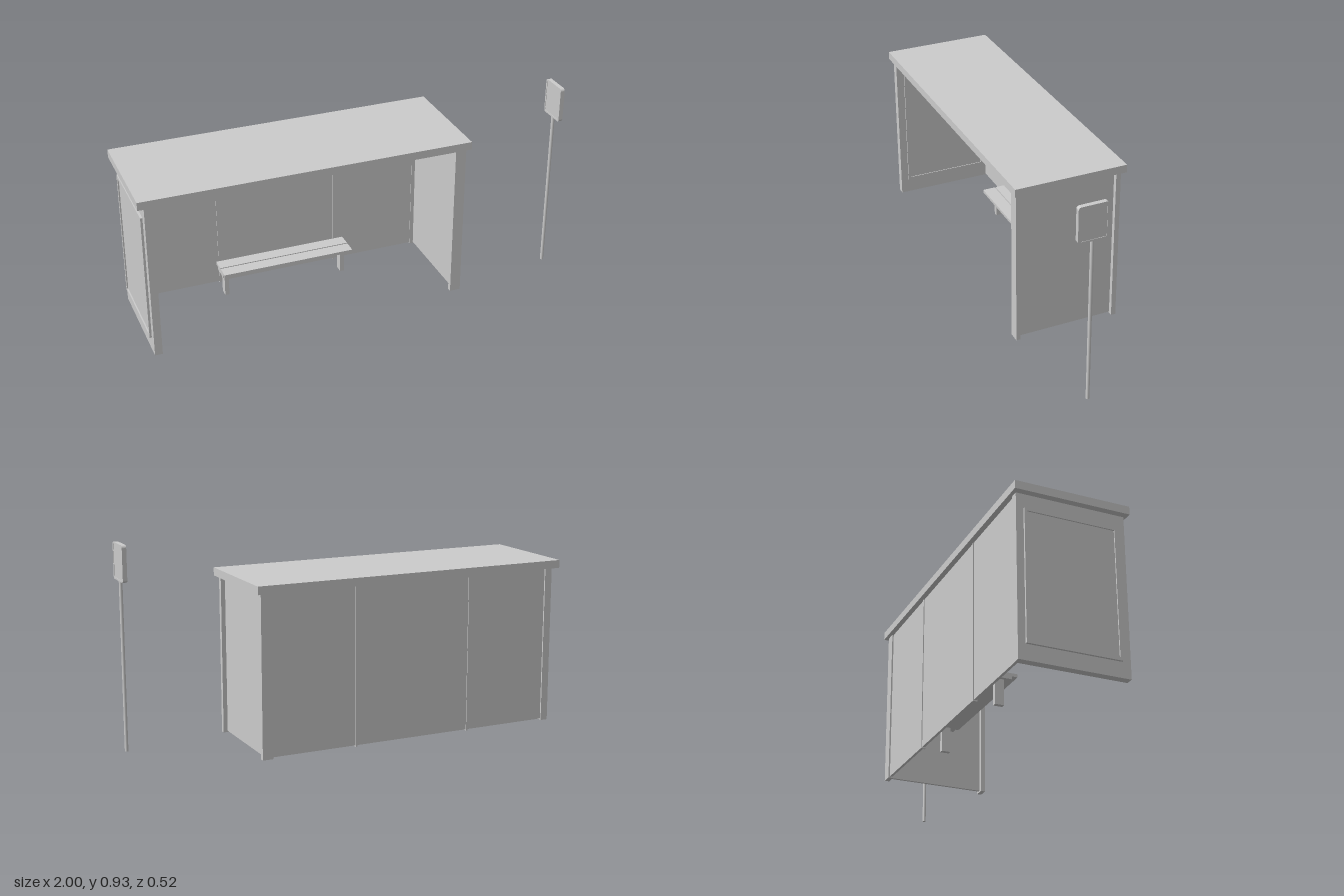
import * as THREE from 'three';

const material = new THREE.MeshStandardMaterial({ color: 0xcccccc });

export function createModel() {
  const root = new THREE.Group();

  function add(name, geometry) {
    const mesh = new THREE.Mesh(geometry, material);
    mesh.name = name;
    root.add(mesh);
    return mesh;
  }

  // Box given by its lower and upper limits on each axis
  function box(name, [x0, x1], [y0, y1], [z0, z1]) {
    const mesh = add(name, new THREE.BoxGeometry(x1 - x0, y1 - y0, z1 - z0));
    mesh.position.set((x0 + x1) / 2, (y0 + y1) / 2, (z0 + z1) / 2);
    return mesh;
  }

  // Rounded rectangle outline, centred on the origin
  function roundedRect(target, w, h, r) {
    const x = w / 2 - r, y = h / 2 - r;
    target.absarc(x, y, r, 0, Math.PI / 2);
    target.absarc(-x, y, r, Math.PI / 2, Math.PI);
    target.absarc(-x, -y, r, Math.PI, Math.PI * 1.5);
    target.absarc(x, -y, r, Math.PI * 1.5, Math.PI * 2);
    target.closePath();
    return target;
  }

  // Upright rim facing sideways, running from x0 to x1
  function rim(name, [x0, x1], y, z, w, h, border, radius) {
    const shape = roundedRect(new THREE.Shape(), w, h, radius);
    shape.holes.push(roundedRect(new THREE.Path(), w - 2 * border, h - 2 * border, radius * 0.6));
    const geometry = new THREE.ExtrudeGeometry(shape, { depth: x1 - x0, bevelEnabled: false, curveSegments: 5 });
    geometry.rotateY(Math.PI / 2);
    add(name, geometry).position.set(x0, y, z);
  }

  // Roof slab
  box('roof', [-1, 0.52], [0.735, 0.772], [-0.26, 0.26]);

  // Solid end wall with a framed display case on both faces
  box('displayWall', [-0.97, -0.935], [0, 0.735], [-0.243, 0.247]);
  rim('displayFrame', [-0.98, -0.928], 0.37, 0, 0.42, 0.6, 0.014, 0.002);
  box('displayPane', [-0.974, -0.932], [0.08, 0.66], [-0.198, 0.198]);

  // Open end: two flat posts holding a recessed pane
  box('frontPost', [0.45, 0.5], [0, 0.735], [0.226, 0.247]);
  box('backPost', [0.45, 0.5], [0, 0.735], [-0.243, -0.221]);
  box('sidePane', [0.468, 0.48], [0.006, 0.735], [-0.221, 0.226]);

  // Back wall of three panes divided by slim mullions
  const dividers = [-0.935, -0.528, 0.045, 0.45];
  for (let i = 0; i < 3; i++) {
    box('backPane', [dividers[i], dividers[i + 1]], [0.006, 0.735], [-0.236, -0.224]);
  }
  for (const x of dividers.slice(1, 3)) {
    box('mullion', [x - 0.004, x + 0.004], [0, 0.735], [-0.24, -0.22]);
  }

  // Bench: two slats on a narrower beam and two legs
  for (const z of [-0.18, -0.112]) {
    box('benchSlat', [-0.555, 0.075], [0.128, 0.142], [z, z + 0.062]);
  }
  box('benchBeam', [-0.555, 0.075], [0.115, 0.128], [-0.155, -0.075]);
  for (const x of [-0.53, 0.045]) {
    box('benchLeg', [x - 0.01, x + 0.01], [0, 0.115], [-0.145, -0.105]);
  }

  // Stop sign pole and rounded sign plate
  const pole = add('signPole', new THREE.CylinderGeometry(0.008, 0.008, 0.77, 16));
  pole.position.set(0.99, 0.385, 0.147);
  rim('signRim', [0.98, 1], 0.849, 0.147, 0.133, 0.163, 0.008, 0.012);
  box('signFace', [0.982, 0.998], [0.774, 0.924], [0.087, 0.207]);

  return root;
}
